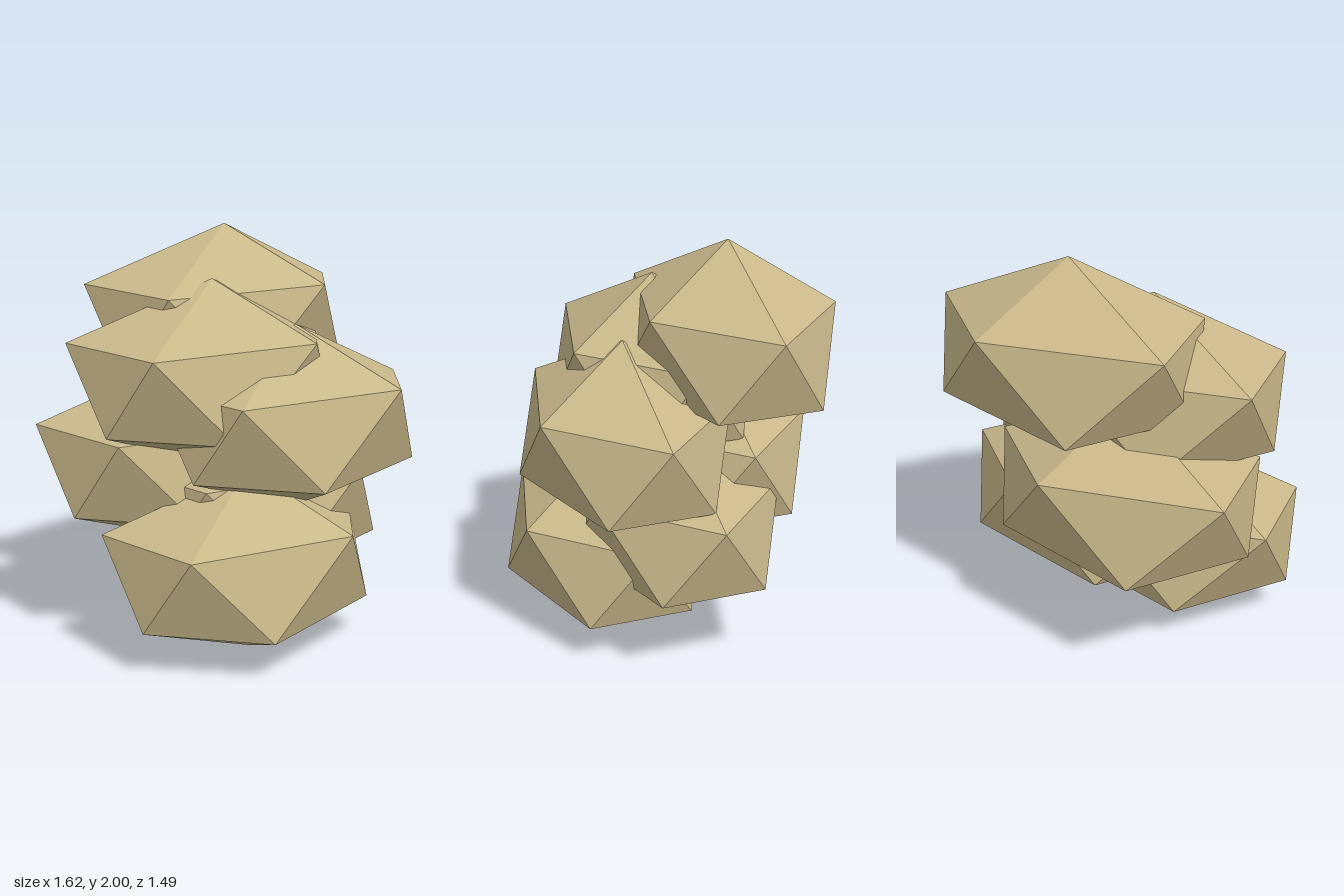
import * as THREE from 'three';

// Irregular twenty-sided rock, measured from its top point
const TOP = [0, 0, 0], BOTTOM = [0, -0.9, 0];
const UPPER = [[0.68, -0.31, 0], [0.24, -0.28, 0.48], [-0.57, -0.3, 0.27], [-0.64, -0.28, -0.31], [0.23, -0.29, -0.46]];
const LOWER = [[0.555, -0.7, 0.265], [-0.23, -0.71, 0.46], [-0.64, -0.69, 0], [-0.235, -0.72, -0.48], [0.55, -0.7, -0.26]];

function rockGeometry() {
  const corners = [];
  for (let i = 0; i < 5; i++) {
    const j = (i + 1) % 5;
    corners.push(TOP, UPPER[j], UPPER[i]);        // cap
    corners.push(UPPER[i], UPPER[j], LOWER[i]);   // sides
    corners.push(UPPER[j], LOWER[j], LOWER[i]);
    corners.push(BOTTOM, LOWER[i], LOWER[j]);     // underside
  }
  const geometry = new THREE.BufferGeometry();
  geometry.setAttribute('position', new THREE.Float32BufferAttribute(corners.flat(), 3));
  geometry.computeVertexNormals(); // unshared corners give flat facets
  return geometry;
}

export function createModel() {
  const group = new THREE.Group();
  group.name = 'rockPile';
  const sandstone = new THREE.MeshStandardMaterial({ color: 0xc8b88a });
  sandstone.name = 'sandstone';
  const geometry = rockGeometry();

  // Six equal rocks climbing in even steps, alternating sides and cycling in depth
  const depths = [0.26, 0, -0.27];
  for (let i = 0; i < 6; i++) {
    const rock = new THREE.Mesh(geometry, sandstone);
    rock.name = `rock${i + 1}`;
    rock.position.set(i % 2 ? 0.13 : -0.175, 0.9 + i * 0.22, depths[i % 3]);
    group.add(rock);
  }
  return group;
}
